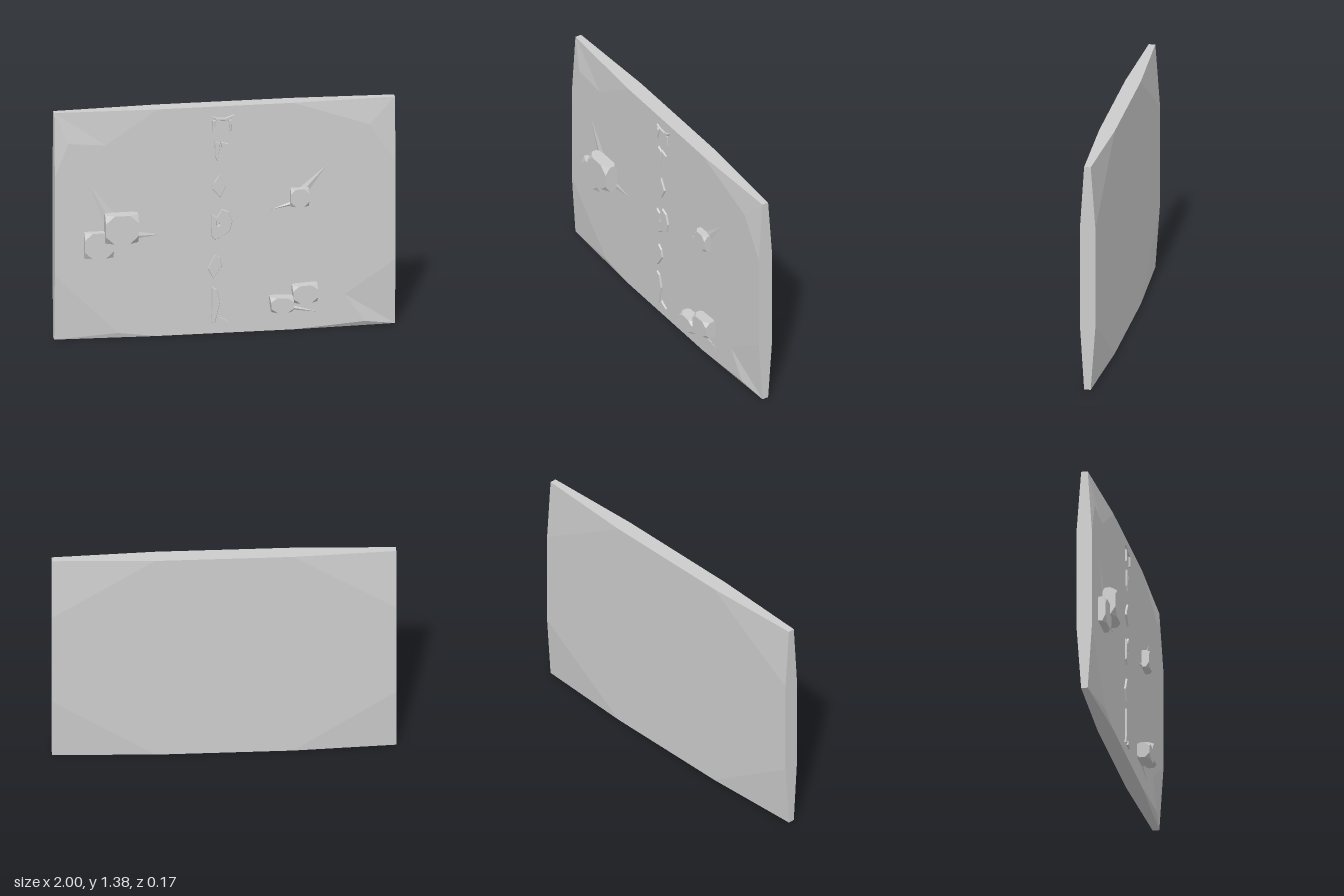
import * as THREE from 'three';
import { ConvexGeometry } from 'three/addons/geometries/ConvexGeometry.js';

const H = 1.385, FRONT = 0.007, BACK = -0.085;      // slab height and face depths
const CORNER_FRONT = -0.018, CORNER_BACK = -0.057;  // slab thins towards its corners
const material = new THREE.MeshStandardMaterial({ color: 0xcccccc, flatShading: true });

function addMesh(parent, name, geometry) {
  const mesh = new THREE.Mesh(geometry, material);
  mesh.name = name;
  parent.add(mesh);
  return mesh;
}

// Collects flat polygons, turning every triangle to face the given direction
function surface() {
  const data = [];
  const tri = (a, b, c, out) => {
    const [A, B, C] = [a, b, c].map(p => new THREE.Vector3(...p));
    const n = B.clone().sub(A).cross(C.clone().sub(A));
    const order = n.dot(new THREE.Vector3(...out)) < 0 ? [a, c, b] : [a, b, c];
    order.forEach(p => data.push(...p));
  };
  return {
    fan(points, out) {
      for (let i = 1; i < points.length - 1; i++) tri(points[0], points[i], points[i + 1], out);
    },
    flat(outline, z, out) {
      const v = outline.map(p => new THREE.Vector2(...p));
      for (const f of THREE.ShapeUtils.triangulateShape(v, [])) {
        tri(...f.map(i => [...outline[i], z]), out);
      }
    },
    build() {
      const g = new THREE.BufferGeometry();
      g.setAttribute('position', new THREE.Float32BufferAttribute(data, 3));
      g.computeVertexNormals();
      return g;
    }
  };
}

function slabGeometry() {
  const s = surface();
  // Inner border of each worn corner, counter-clockwise round the slab
  const frontCorners = [
    { at: [-1, 0], cut: [[-1, 0.4], [-0.63, 0.03], [-0.4, 0]] },
    { at: [1, 0], cut: [[0.4, 0], [0.82, 0.03], [0.7, 0.2], [1, 0.4]] },
    { at: [1, H], cut: [[1, 1], [0.85, 1.23], [0.4, H]] },
    { at: [-1, H], cut: [[-0.4, H], [-0.7, 1.18], [-0.92, 1.2], [-1, 1]] }
  ];
  const backCorners = frontCorners.map(({ at, cut }) => ({ at, cut: [cut[0], cut[cut.length - 1]] }));
  for (const [corners, z, cz, dir] of [
    [frontCorners, FRONT, CORNER_FRONT, [0, 0, 1]],
    [backCorners, BACK, CORNER_BACK, [0, 0, -1]]
  ]) {
    s.flat(corners.flatMap(c => c.cut), z, dir);
    for (const { at, cut } of corners) s.fan([[...at, cz], ...cut.map(p => [...p, z])], dir);
  }
  // Edge faces, thickest along the middle
  const profile = (a, b, c, d) => [
    [a, CORNER_BACK], [a, CORNER_FRONT], [b, FRONT], [c, FRONT],
    [d, CORNER_FRONT], [d, CORNER_BACK], [c, BACK], [b, BACK]
  ];
  for (const side of [-1, 1]) {
    s.fan(profile(0, 0.4, 1, H).map(([y, z]) => [side, y, z]), [side, 0, 0]);
    s.fan(profile(-1, -0.4, 0.4, 1).map(([x, z]) => [x, side > 0 ? H : 0, z]), [0, side, 0]);
  }
  return s.build();
}

// Block with a four-cornered outline whose corners are cut off front and back
function blockGeometry(outline, top) {
  const base = -0.01, depth = top - base, points = [];
  const v = outline.map(p => new THREE.Vector2(...p));
  v.forEach((p, i) => {
    const next = v[(i + 1) % 4];
    for (const t of [0.27, 0.73]) {
      const q = p.clone().lerp(next, t);
      points.push(new THREE.Vector3(q.x, q.y, top), new THREE.Vector3(q.x, q.y, base));
    }
    for (const t of [0.35, 0.68]) points.push(new THREE.Vector3(p.x, p.y, base + depth * t));
  });
  return new ConvexGeometry(points);
}

const rect = (x0, x1, y0, y1) => [[x0, y0], [x1, y0], [x1, y1], [x0, y1]];

// Thin chip standing just proud of the slab
function chipGeometry(outline, hole) {
  const shape = new THREE.Shape(outline.map(p => new THREE.Vector2(...p)));
  if (hole) shape.holes.push(new THREE.Path(hole.map(p => new THREE.Vector2(...p))));
  return new THREE.ExtrudeGeometry(shape, {
    depth: 0.012, bevelThickness: 0.006, bevelSize: 0.003, bevelOffset: -0.003, bevelSegments: 1
  }).translate(0, 0, 0);
}

// Low ridge tapering from a block into the slab
function ridgeGeometry([tx, ty], [ax, ay], [bx, by]) {
  const tip = [tx, ty, FRONT], a = [ax, ay, FRONT], b = [bx, by, FRONT];
  const crest = [(ax + bx) / 2, (ay + by) / 2, FRONT + 0.008];
  const s = surface();
  s.fan([tip, a, crest], [0, 0, 1]);
  s.fan([tip, crest, b], [0, 0, 1]);
  return s.build();
}

export function createModel() {
  const model = new THREE.Group();
  model.name = 'stoneSlab';
  addMesh(model, 'slab', slabGeometry());

  // Projecting blocks
  const blocks = new THREE.Group();
  blocks.name = 'blocks';
  model.add(blocks);
  [
    [rect(-0.712, -0.518, 0.597, 0.768), 0.085],
    [rect(-0.83, -0.66, 0.503, 0.658), 0.052],
    [rect(0.38, 0.487, 0.76, 0.867), 0.052],
    [[[0.395, 0.175], [0.535, 0.18], [0.535, 0.288], [0.387, 0.28]], 0.073],
    [[[0.265, 0.127], [0.39, 0.127], [0.395, 0.215], [0.255, 0.218]], 0.08]
  ].forEach(([outline, top], i) => addMesh(blocks, `block${i + 1}`, blockGeometry(outline, top)));

  // Ridges beside the blocks
  const ridges = new THREE.Group();
  ridges.name = 'ridges';
  model.add(ridges);
  [
    [[-0.8, 0.95], [-0.71, 0.7], [-0.66, 0.77]],
    [[-0.38, 0.62], [-0.56, 0.65], [-0.62, 0.59]],
    [[0.6, 1.0], [0.44, 0.867], [0.487, 0.84]],
    [[0.27, 0.74], [0.38, 0.78], [0.4, 0.76]],
    [[0.55, 0.1], [0.39, 0.15], [0.36, 0.127]]
  ].forEach((r, i) => addMesh(ridges, `ridge${i + 1}`, ridgeGeometry(...r)));

  // Column of chips down the middle, top to bottom
  const chips = new THREE.Group();
  chips.name = 'chips';
  model.add(chips);
  [
    [[[-0.08, 1.33], [-0.05, 1.3], [0, 1.297], [0.03, 1.305], [0.055, 1.335], [0, 1.315], [-0.05, 1.318]]],
    [[[-0.077, 1.305], [-0.075, 1.23], [-0.055, 1.3]]],
    [[[0.02, 1.3], [0.025, 1.238], [0.035, 1.235], [0.037, 1.305]]],
    [[[-0.063, 1.18], [-0.06, 1.08], [-0.045, 1.05], [-0.03, 1.16]]],
    [[[-0.03, 1.172], [-0.02, 1.13], [0.02, 1.155]]],
    [[[-0.035, 0.97], [-0.07, 0.92], [-0.077, 0.885], [-0.03, 0.83], [0.005, 0.9]]],
    [[[-0.02, 0.76], [-0.05, 0.71], [-0.08, 0.73], [-0.083, 0.6], [-0.06, 0.57], [0.025, 0.62], [0.042, 0.68], [0.02, 0.74]],
      [[-0.05, 0.685], [-0.03, 0.665], [-0.05, 0.655]]],
    [[[-0.06, 0.485], [-0.105, 0.4], [-0.07, 0.335], [-0.02, 0.41], [-0.03, 0.46]]],
    [[[-0.08, 0.285], [-0.08, 0.15], [-0.085, 0.065], [-0.06, 0.068], [-0.03, 0.19], [-0.05, 0.27]]],
    [[[-0.03, 0.1], [-0.042, 0.068], [0.02, 0.068]]]
  ].forEach(([outline, hole], i) => addMesh(chips, `chip${i + 1}`, chipGeometry(outline, hole)));

  return model;
}
